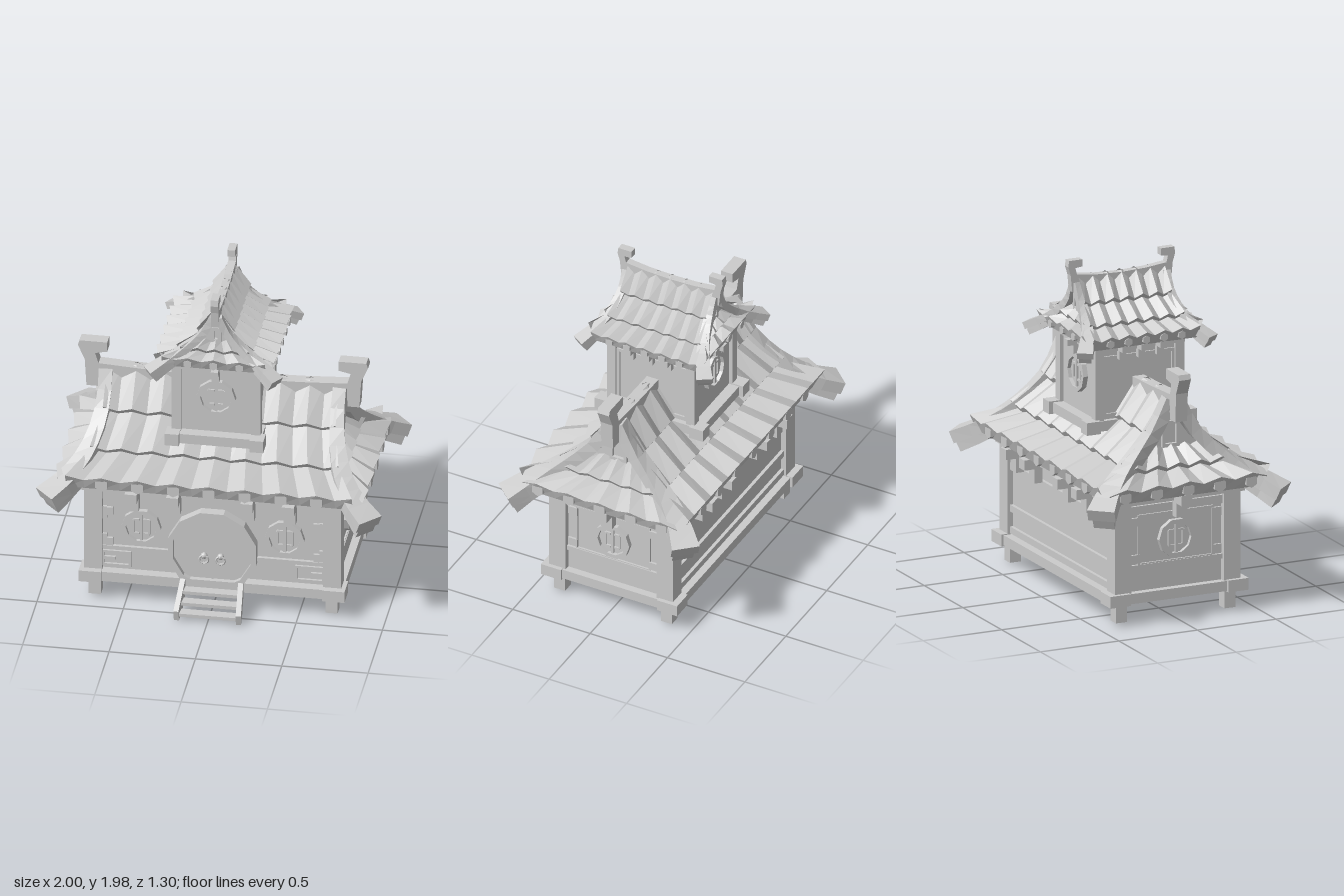
import * as THREE from 'three';

const stone = new THREE.MeshStandardMaterial({ color: 0xcccccc, flatShading: true, side: THREE.DoubleSide });
stone.name = 'light grey';

function add(parent, name, geo, x = 0, y = 0, z = 0) {
  const m = new THREE.Mesh(geo, stone);
  m.name = name;
  m.position.set(x, y, z);
  parent.add(m);
  return m;
}
const box = (p, name, w, h, d, x, y, z) => add(p, name, new THREE.BoxGeometry(w, h, d), x, y, z);
function group(parent, name, turn = 0) {
  const g = new THREE.Group();
  g.name = name;
  g.rotation.y = turn;
  parent.add(g);
  return g;
}
// Box centred in x and z at all four mirrored corners
function corners(p, name, w, h, d, x, y, z) {
  for (const sx of [-1, 1]) for (const sz of [-1, 1]) box(p, name, w, h, d, sx * x, y, sz * z);
}
// Four beams around a rectangle with outer half sizes x, z
function ring(p, name, x, z, y, h, t) {
  for (const s of [-1, 1]) {
    box(p, name, 2 * x, h, t, 0, y, s * (z - t / 2));
    box(p, name, t, h, 2 * (z - t), s * (x - t / 2), y, 0);
  }
}
// Surface through rows of points, facing up when rows run +z and columns +x
function skin(rows) {
  const n = rows[0].length, idx = [];
  for (let i = 0; i < rows.length - 1; i++) for (let j = 0; j < n - 1; j++) {
    const a = i * n + j, c = a + n;
    idx.push(a, c, a + 1, a + 1, c, c + 1);
  }
  const g = new THREE.BufferGeometry().setFromPoints(rows.flat());
  g.setIndex(idx);
  const flat = g.toNonIndexed();
  flat.computeVertexNormals();
  return flat;
}
// Rectangular beam along a path, from width w0 to w1
function beam(points, w0, w1, h) {
  const n = points.length, rows = [];
  points.forEach((p, i) => {
    const t = points[Math.min(i + 1, n - 1)].clone().sub(points[Math.max(i - 1, 0)]).normalize();
    const s = new THREE.Vector3(0, 1, 0).cross(t).normalize();
    const up = t.clone().cross(s);
    const w = w0 + (w1 - w0) * (i / (n - 1)) ** 2;
    const row = [[-1, 1], [1, 1], [1, -1], [-1, -1], [-1, 1]].map(([a, b]) =>
      p.clone().addScaledVector(s, a * w / 2).addScaledVector(up, b * h / 2));
    if (i === 0) rows.push(row.map(() => p.clone()));
    rows.push(row);
    if (i === n - 1) rows.push(row.map(() => p.clone()));
  });
  return skin(rows);
}
// Folded tile courses; profile points are [distance out, height, half width]
function tiles(profile, courses, m, amp, inner) {
  const curve = new THREE.CatmullRomCurve3(profile.map(p => new THREE.Vector3(...p)));
  const rows = [];
  const row = (d, y, half, fold) => {
    const r = [];
    for (let k = -m; k <= m; k++) {
      const f = k % 2 === 0 ? fold : 0;
      r.push(new THREE.Vector3(half * k / m, y + f * 0.8, d + f * 0.5));
    }
    rows.push(r);
  };
  for (let c = 0; c < courses; c++) {
    const a = curve.getPoint(c / courses), b = curve.getPoint((c + 1) / courses);
    row(a.x, a.y, a.z, amp * 0.8);
    row(b.x + amp * 0.3, b.y + amp * 0.5, b.z, amp);
  }
  const [d, y, half] = profile[profile.length - 1];
  row(d - 0.01, y - amp, half, 0);
  row(inner, y - amp, half * 0.9, 0);
  return skin(rows);
}

// Hip-and-gable roof with its ridge along x
function roof(parent, name, o, turn) {
  const g = group(parent, name, turn);
  const side = (profile, m, courses, inner, angle) => {
    const s = group(g, 'roofSide', angle);
    add(s, 'roofTiles', tiles(profile, courses, m, o.amp, inner));
    const [d, y, half] = profile[profile.length - 1];
    for (let k = -m + 1; k < m; k++) if (k % 2 === 0) {
      const end = new THREE.CylinderGeometry(o.cap, o.cap, 0.03, 6).rotateX(Math.PI / 2);
      add(s, 'tileEnd', end, half * k / m, y, d + 0.005);
    }
  };
  for (const s of [0, 1]) {
    side(o.slope, o.slopeFolds, 3, o.inZ, s * Math.PI);
    side(o.skirt, o.skirtFolds, 2, o.inX, s * Math.PI + Math.PI / 2);
  }
  // Curved hip boards with a second beam under each tip
  for (const sx of [-1, 1]) for (const sz of [-1, 1]) {
    const curve = new THREE.CatmullRomCurve3(o.hip.map(([x, y, z]) => new THREE.Vector3(sx * x, y, sz * z)));
    const pts = curve.getPoints(8);
    add(g, 'hipBoard', beam(pts, o.board, o.board * 2.1, o.board * 0.95));
    const low = pts.slice(-3).map((p, i) => p.clone().lerp(pts[5], 0.12).setY(p.y - o.board * 0.75));
    add(g, 'hipBeam', beam(low, o.board, o.board * 1.6, o.board * 0.8));
  }
  // Ridge with upturned hooked ends
  const half = o.ridge.map(p => new THREE.Vector2(...p));
  const left = half.filter(p => p.x > 0).reverse().map(p => new THREE.Vector2(-p.x, p.y));
  const ridge = new THREE.ExtrudeGeometry(new THREE.Shape([...half, ...left]), { depth: o.ridgeT, bevelEnabled: false });
  add(g, 'ridge', ridge, 0, 0, -o.ridgeT / 2);
  // Gable walls with a small framed vent
  const [gx, gy, gz] = o.skirt[0], top = o.slope[0][1];
  for (const s of [-1, 1]) {
    const end = group(g, 'gable', s * Math.PI / 2);
    const tri = new THREE.Shape([[-gz, gy - 0.03], [gz, gy - 0.03], [gz * 0.4, gy + (top - gy) * 0.45], [0, top], [-gz * 0.4, gy + (top - gy) * 0.45]]
      .map(p => new THREE.Vector2(...p)));
    add(end, 'gableWall', new THREE.ExtrudeGeometry(tri, { depth: 0.02, bevelEnabled: false }), 0, 0, gx - 0.02);
    frame(end, 'gableVent', gz * 0.5, (top - gy) * 0.5, 0.02, 0.02, 0, gy + (top - gy) * 0.27, gx + 0.01);
  }
}

// Flat rectangular frame facing +z
function frame(p, name, w, h, t, d, x, y, z) {
  for (const s of [-1, 1]) {
    box(p, name, w, t, d, x, y + s * (h - t) / 2, z);
    box(p, name, t, h - 2 * t, d, x + s * (w - t) / 2, y, z);
  }
}
// Polygon ring facing +z
function hoop(p, name, sides, r, inner, depth, x, y, z) {
  const poly = q => Array.from({ length: sides }, (_, i) => {
    const a = (i + 0.5) / sides * Math.PI * 2;
    return new THREE.Vector2(Math.sin(a) * q, Math.cos(a) * q);
  });
  const shape = new THREE.Shape(poly(r));
  if (inner) shape.holes.push(new THREE.Path(poly(inner)));
  add(p, name, new THREE.ExtrudeGeometry(shape, { depth, bevelEnabled: false }), x, y, z);
}
// Polygonal window with a split lattice
function roundWindow(p, x, y, z) {
  hoop(p, 'windowFrame', 10, 0.115, 0.09, 0.03, x, y, z);
  hoop(p, 'windowPane', 10, 0.092, 0, 0.008, x, y, z);
  box(p, 'windowBar', 0.016, 0.18, 0.022, x, y, z + 0.011);
  for (const s of [-1, 1]) {
    box(p, 'windowLattice', 0.012, 0.09, 0.018, x + s * 0.045, y, z + 0.009);
    for (const q of [-1, 1]) box(p, 'windowLattice', 0.035, 0.012, 0.018, x + s * 0.028, y + q * 0.045, z + 0.009);
  }
}
// Hooked bracket under the eaves
function bracket(p, x, y, z, k) {
  box(p, 'eaveBracket', 0.07 * k, 0.06 * k, 0.12 * k, x, y, z + 0.03 * k);
  box(p, 'eaveBracket', 0.07 * k, 0.09 * k, 0.05 * k, x, y - 0.07 * k, z);
}

export function createModel() {
  const house = new THREE.Group();
  house.name = 'house';

  // Raised base
  corners(house, 'foot', 0.07, 0.13, 0.07, 0.685, 0.085, 0.345);
  corners(house, 'baseCorner', 0.13, 0.07, 0.13, 0.705, 0.163, 0.375);
  ring(house, 'baseBeam', 0.755, 0.425, 0.163, 0.06, 0.09);
  box(house, 'floor', 1.4, 0.03, 0.76, 0, 0.165, 0);

  // Main walls
  box(house, 'walls', 1.42, 0.63, 0.73, 0, 0.485, 0);
  corners(house, 'post', 0.105, 0.57, 0.105, 0.692, 0.475, 0.347);
  ring(house, 'topBeam', 0.765, 0.42, 0.75, 0.06, 0.1);
  ring(house, 'wallRail', 0.725, 0.38, 0.675, 0.05, 0.03);

  // Front: door, windows and panels
  const front = group(house, 'front');
  hoop(front, 'doorFrame', 12, 0.264, 0.232, 0.065, 0, 0.378, 0.36);
  hoop(front, 'door', 12, 0.234, 0, 0.035, 0, 0.378, 0.36);
  box(front, 'doorSeam', 0.012, 0.42, 0.012, 0, 0.39, 0.398);
  for (const s of [-1, 1]) {
    add(front, 'doorKnob', new THREE.SphereGeometry(0.02, 8, 6), s * 0.048, 0.345, 0.405);
    add(front, 'doorRing', new THREE.TorusGeometry(0.025, 0.007, 5, 10), s * 0.048, 0.325, 0.415);
    roundWindow(front, s * 0.415, 0.485, 0.365);
    box(front, 'wallRail', 0.42, 0.025, 0.03, s * 0.44, 0.335, 0.37);
    frame(front, 'lowerPanel', 0.17, 0.1, 0.014, 0.02, s * 0.56, 0.262, 0.37);
    box(front, 'panelKey', 0.07, 0.02, 0.02, s * 0.6, 0.262, 0.37);
    for (const q of [-1, 1]) {
      box(front, 'cornerStep', 0.06, 0.05, 0.02, s * 0.61, 0.47 + q * 0.1, 0.37);
      box(front, 'cornerStep', 0.03, 0.08, 0.02, s * 0.63, 0.47 + q * 0.09, 0.37);
    }
  }

  // Back: plain wall with rails
  for (const y of [0.22, 0.35, 0.6]) box(house, 'backRail', 1.3, 0.04, 0.03, 0, y, -0.37);

  // Side walls and eave brackets
  for (const s of [-1, 1]) {
    const end = group(house, 'sideWall', s * Math.PI / 2);
    roundWindow(end, 0, 0.485, 0.71);
    frame(end, 'sidePanel', 0.48, 0.3, 0.012, 0.015, 0, 0.495, 0.713);
    for (const a of [-1, 1]) for (const q of [-1, 1])
      box(end, 'cornerStep', 0.06, 0.05, 0.02, a * 0.26, 0.495 + q * 0.11, 0.713);
    box(end, 'wallRail', 0.6, 0.03, 0.03, 0, 0.335, 0.71);
    bracket(end, 0, 0.74, 0.775, 1);
    const long = group(house, 'longEave', s > 0 ? 0 : Math.PI);
    for (const x of [-0.455, -0.215, 0.215, 0.455]) bracket(long, x, 0.74, 0.43, 1);
  }

  // Front steps
  const steps = group(house, 'steps');
  const cheek = new THREE.Shape([[0.43, 0.195], [0.595, 0.07], [0.58, 0.005], [0.5, 0.03], [0.425, 0.1]]
    .map(p => new THREE.Vector2(-p[0], p[1])));
  for (const s of [-1, 1]) {
    const geo = new THREE.ExtrudeGeometry(cheek, { depth: 0.03, bevelEnabled: false }).rotateY(Math.PI / 2);
    const m = add(steps, 'stepCheek', geo, s * 0.168 - 0.015, 0, 0);
    m.rotation.y = s * 0.08;
    m.position.x -= s * 0.035;
  }
  for (const [y, z] of [[0.135, 0.455], [0.085, 0.5], [0.04, 0.55]]) box(steps, 'tread', 0.33, 0.02, 0.06, 0, y, z);

  // Main roof
  roof(house, 'mainRoof', {
    slope: [[0.0, 1.31, 0.67], [0.1, 1.13, 0.67], [0.22, 0.985, 0.69], [0.36, 0.885, 0.74], [0.515, 0.825, 0.83]],
    skirt: [[0.64, 1.0, 0.22], [0.74, 0.89, 0.34], [0.87, 0.81, 0.5]],
    hip: [[0.68, 1.3, 0.02], [0.675, 1.13, 0.11], [0.695, 1.0, 0.23], [0.74, 0.9, 0.35], [0.81, 0.82, 0.46], [0.935, 0.74, 0.58]],
    ridge: [[0, 1.2], [0.72, 1.23], [0.72, 1.19], [0.79, 1.19], [0.8, 1.36], [0.84, 1.45], [0.83, 1.48], [0.67, 1.48],
      [0.67, 1.42], [0.74, 1.405], [0.72, 1.34], [0.45, 1.325], [0, 1.315]],
    ridgeT: 0.075, slopeFolds: 8, skirtFolds: 5, amp: 0.042, cap: 0.04, board: 0.078, inX: 0.68, inZ: 0.34,
  }, 0);

  // Tower
  const tower = group(house, 'tower');
  box(tower, 'towerWalls', 0.47, 0.66, 0.52, 0, 1.22, 0);
  corners(tower, 'towerPost', 0.055, 0.5, 0.055, 0.23, 1.3, 0.255);
  ring(tower, 'towerBase', 0.265, 0.325, 1.055, 0.06, 0.08);
  corners(tower, 'towerBaseCorner', 0.08, 0.075, 0.09, 0.245, 1.055, 0.305);
  ring(tower, 'towerTopBeam', 0.26, 0.285, 1.515, 0.05, 0.05);
  for (const s of [0, 1]) {
    const face = group(tower, 'towerFace', s * Math.PI);
    roundWindow(face, 0, 1.315, 0.26);
    bracket(face, 0, 1.5, 0.29, 0.6);
    const flank = group(tower, 'towerFlank', s * Math.PI + Math.PI / 2);
    frame(flank, 'towerPanel', 0.46, 0.36, 0.02, 0.015, 0, 1.28, 0.238);
    for (const x of [-0.12, 0, 0.12]) bracket(flank, x, 1.51, 0.265, 0.6);
  }
  roof(tower, 'towerRoof', {
    slope: [[0, 1.87, 0.275], [0.06, 1.75, 0.275], [0.14, 1.66, 0.285], [0.23, 1.595, 0.31], [0.325, 1.56, 0.34]],
    skirt: [[0.265, 1.68, 0.12], [0.305, 1.62, 0.2], [0.355, 1.575, 0.3]],
    hip: [[0.285, 1.85, 0.015], [0.28, 1.75, 0.065], [0.29, 1.67, 0.14], [0.325, 1.595, 0.24], [0.405, 1.52, 0.37]],
    ridge: [[0, 1.8], [0.28, 1.83], [0.28, 1.8], [0.315, 1.8], [0.325, 1.9], [0.34, 1.95], [0.335, 1.987], [0.25, 1.987],
      [0.25, 1.945], [0.295, 1.94], [0.285, 1.9], [0.15, 1.885], [0, 1.88]],
    ridgeT: 0.045, slopeFolds: 6, skirtFolds: 4, amp: 0.035, cap: 0.025, board: 0.045, inX: 0.25, inZ: 0.22,
  }, Math.PI / 2);

  return house;
}
